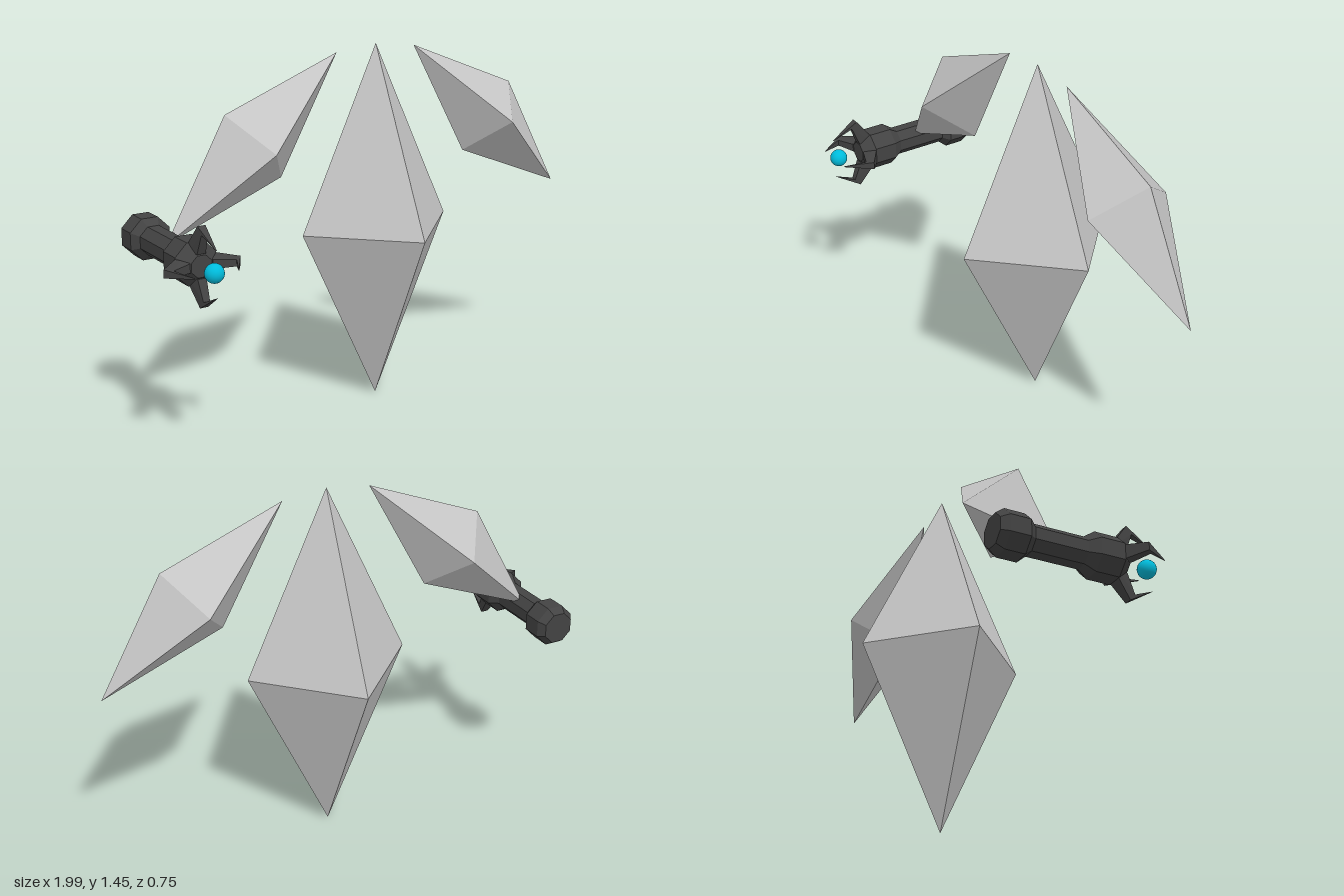
import * as THREE from 'three';

const stone = new THREE.MeshStandardMaterial({ color: 0xc6c6c6 });
stone.name = 'pale stone';
const iron = new THREE.MeshStandardMaterial({ color: 0x434343 });
iron.name = 'dark iron';
const glow = new THREE.MeshStandardMaterial({ color: 0x00bcdc });
glow.name = 'cyan orb';

function part(parent, name, geometry, material) {
  const mesh = new THREE.Mesh(geometry, material);
  mesh.name = name;
  parent.add(mesh);
  return mesh;
}

// Faceted normals
function faceted(geometry) {
  const g = geometry.index ? geometry.toNonIndexed() : geometry;
  g.computeVertexNormals();
  return g;
}

// Eight-faced crystal spanned by three half-axes
function crystal(cross, long, depth) {
  const m = new THREE.Matrix4().makeBasis(
    new THREE.Vector3(...cross), new THREE.Vector3(...long), new THREE.Vector3(0, 0, depth));
  return faceted(new THREE.OctahedronGeometry(1, 0).applyMatrix4(m));
}

// Bent claw in the radius/z plane, narrowing towards its tip
function clawGeometry() {
  const outline = [[0.045, 0.19], [0.08, 0.2], [0.15, 0.252], [0.085, 0.36], [0.122, 0.275], [0.045, 0.245]];
  const shape = new THREE.Shape(outline.map(([r, z]) => new THREE.Vector2(r, z)));
  const g = new THREE.ExtrudeGeometry(shape, { depth: 2, bevelEnabled: false });
  g.translate(0, 0, -1);
  const p = g.attributes.position;
  for (let i = 0; i < p.count; i++) {
    const z = p.getY(i);
    const half = z < 0.25
      ? THREE.MathUtils.mapLinear(z, 0.19, 0.25, 0.03, 0.016)
      : THREE.MathUtils.mapLinear(z, 0.25, 0.36, 0.016, 0.002);
    p.setZ(i, p.getZ(i) * half);
  }
  g.rotateX(Math.PI / 2);
  return faceted(g);
}

export function createModel() {
  const model = new THREE.Group();
  model.name = 'crystalFigure';

  // Floating body and arms
  const figure = new THREE.Group();
  figure.name = 'crystals';
  figure.position.set(0.07, 0, -0.037);
  model.add(figure);
  part(figure, 'body', crystal([0.34, 0, 0], [0, 0.725, 0], 0.34), stone).position.y = 0.727;
  for (const s of [1, -1]) {
    const arm = crystal([0.1175, s * 0.1325, 0], [-s * 0.37, 0.3225, 0], 0.176);
    part(figure, s > 0 ? 'leftArm' : 'rightArm', arm, stone).position.set(s * 0.55, 1.108, 0);
  }

  // Sceptre held along z at the end of the right arm
  const sceptre = new THREE.Group();
  sceptre.name = 'sceptre';
  sceptre.position.set(-0.85, 0.777, 0);
  model.add(sceptre);

  // Octagonal shaft with pommel and head; radii are measured to the flats
  const profile = [
    [0, -0.285], [0.06, -0.285], [0.08, -0.255], [0.08, -0.175], [0.055, -0.145],
    [0.055, 0.065], [0.08, 0.105], [0.08, 0.2], [0.04, 0.245], [0, 0.245],
  ].map(([r, z]) => new THREE.Vector2(r / Math.cos(Math.PI / 8), z));
  const shaft = new THREE.LatheGeometry(profile, 8, Math.PI / 8);
  shaft.rotateX(Math.PI / 2);
  part(sceptre, 'shaft', faceted(shaft), iron);

  // Four claws around the orb
  const claw = clawGeometry();
  for (let i = 0; i < 4; i++) {
    part(sceptre, 'claw', claw, iron).rotation.z = i * Math.PI / 2;
  }
  part(sceptre, 'orb', new THREE.SphereGeometry(0.036, 20, 14), glow).position.z = 0.34;

  return model;
}
